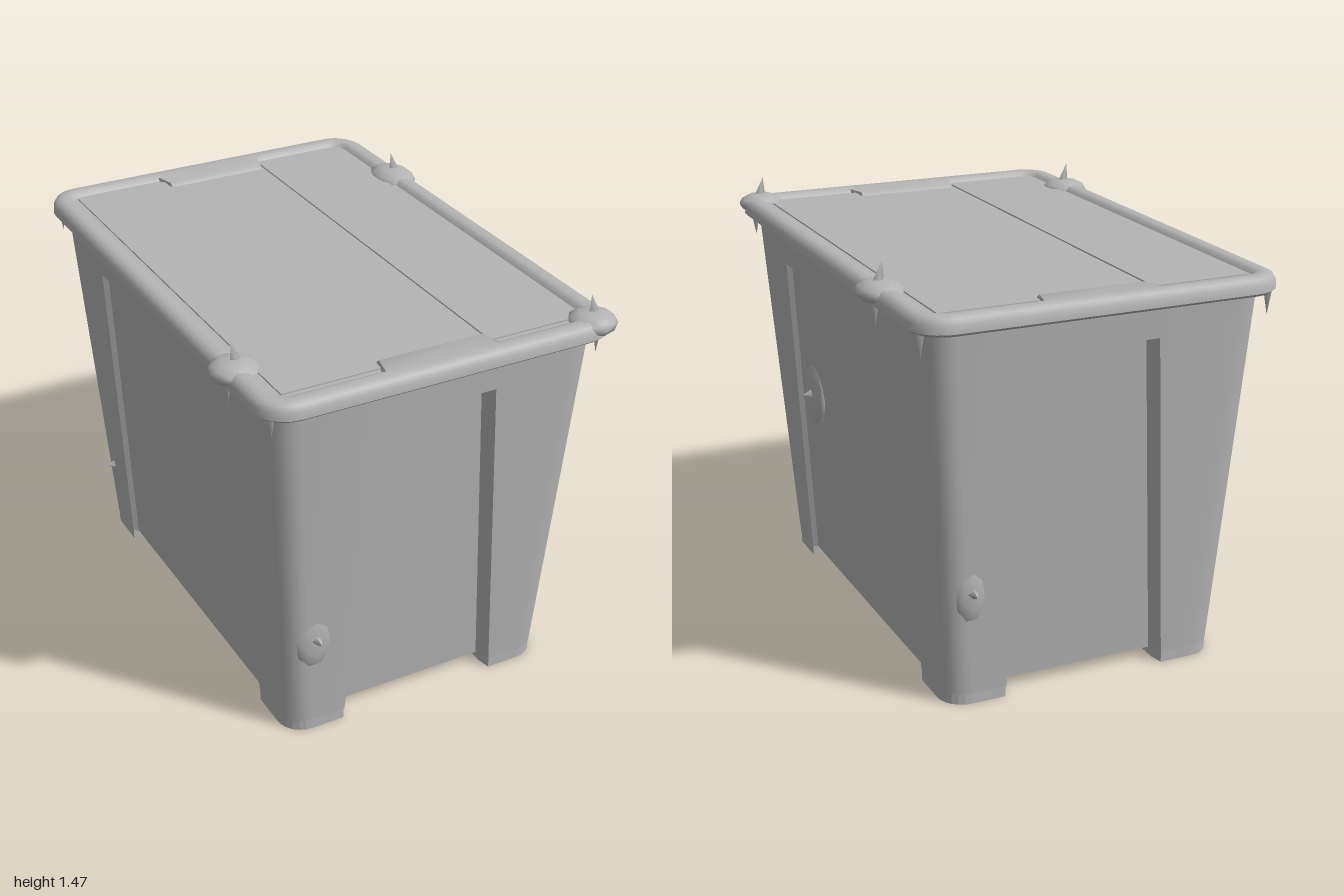
import * as THREE from 'three';
import { toCreasedNormals } from 'three/addons/utils/BufferGeometryUtils.js';

const lerp = THREE.MathUtils.lerp;

// One corner of the outline, from the middle of the long side to the middle of the end.
// w, l: half width and length; side/end: half span of the recess; ds/de: its depth.
function corner({ w, l, r, side, end, ds, de }) {
  const p = [[w - ds, side], [w, side + 0.012]];
  for (let i = 0; i <= 6; i++) {
    const a = (i / 6) * Math.PI / 2;
    p.push([w - r + r * Math.cos(a), l - r + r * Math.sin(a)]);
  }
  p.push([end + 0.02, l], [end, l - de]);
  return p;
}

// Full outline: the corner mirrored four ways
function outline(o) {
  const c = corner(o), rev = [...c].reverse();
  return [
    ...c,
    ...rev.map(([x, z]) => [-x, z]),
    ...c.map(([x, z]) => [-x, -z]),
    ...rev.map(([x, z]) => [x, -z]),
  ];
}

// Skin between stacked outlines
function loft(levels, crease = 0.6) {
  const rings = levels.map(outline), n = rings[0].length;
  const pos = [], idx = [];
  rings.forEach((ring, k) => ring.forEach(([x, z]) => pos.push(x, levels[k].y, z)));
  for (let k = 0; k < rings.length - 1; k++) {
    for (let i = 0; i < n; i++) {
      const a = k * n + i, b = k * n + (i + 1) % n;
      idx.push(a, a + n, b, b, a + n, b + n);
    }
  }
  const g = new THREE.BufferGeometry();
  g.setAttribute('position', new THREE.Float32BufferAttribute(pos, 3));
  g.setIndex(idx);
  return toCreasedNormals(g, crease);
}

const toShape = (pts, s = 1) => new THREE.Shape(pts.map(([x, z]) => new THREE.Vector2(x, s * z)));

// Tapered body section at height y
function section(y, recessed = true) {
  const t = y / 1.34;
  return {
    y, w: lerp(0.51, 0.605, t), l: lerp(0.79, 0.875, t), r: lerp(0.09, 0.1, t),
    side: lerp(0.56, 0.49, t), end: lerp(0.28, 0.18, t),
    ds: recessed ? 0.018 : 0, de: recessed ? 0.055 : 0,
  };
}

export function createModel() {
  const model = new THREE.Group();
  const bin = new THREE.Group();
  bin.name = 'storageBin';
  bin.rotation.y = -0.097;
  model.add(bin);

  const plastic = new THREE.MeshStandardMaterial({ color: 0xb4b4b4 });
  plastic.name = 'greyPlastic';

  function add(name, geo, x = 0, y = 0, z = 0) {
    const m = new THREE.Mesh(geo, plastic);
    m.name = name;
    m.position.set(x, y, z);
    bin.add(m);
    return m;
  }

  // Walls with recessed panels that stop below the rim
  add('walls', loft([section(0.04), section(1.22), section(1.22, false), section(1.35, false)]));

  // Underside
  add('floor', new THREE.ShapeGeometry(toShape(outline(section(0.04)))).rotateX(Math.PI / 2), 0, 0.04, 0);

  // Hollow corner feet
  for (const sx of [1, -1]) for (const sz of [1, -1]) {
    const s = section(0.02), c = corner(s);
    const ix = s.end + 0.01, iz = s.side + 0.01;
    const ring = [...c.slice(1, -1), [ix, s.l - 0.05], [ix, iz], [s.w - 0.02, iz]];
    const cx = (s.w + ix) / 2, cz = (s.l + iz) / 2;
    const shape = toShape(ring.map(([x, z]) => [sx * x, sz * z]));
    shape.holes.push(new THREE.Path(ring.map(([x, z]) =>
      new THREE.Vector2(sx * (cx + (x - cx) * 0.84), sz * (cz + (z - cz) * 0.84)))));
    add('foot', new THREE.ExtrudeGeometry(shape, { depth: 0.04, bevelEnabled: false }).rotateX(Math.PI / 2), 0, 0.042, 0);
  }

  // Lid: rounded rim, then a step down with a tab at each end
  const rim = (y, inset, de = 0) => ({
    y, w: 0.65 - inset, l: 0.935 - inset, r: Math.max(0.05, 0.12 - inset),
    side: 0.5, end: 0.19, ds: 0, de,
  });
  const inner = rim(1.381, 0.08, 0.075);
  add('lidRim', loft([
    rim(1.34, 0.07), rim(1.335, 0.012), rim(1.345, 0), rim(1.372, 0.002), rim(1.39, 0.012),
    rim(1.398, 0.03), rim(1.398, 0.058), rim(1.393, 0.07, 0.07), inner,
  ], 0.9));
  add('lidPanel', new THREE.ShapeGeometry(toShape(outline(inner), -1)).rotateX(-Math.PI / 2), 0, 1.381, 0);

  // Slightly raised strips either side of the middle band
  for (const s of [1, -1]) {
    add('lidStrip', new THREE.BoxGeometry(0.35, 0.006, 1.66), s * 0.375, 1.383, 0);
  }

  // Bent lumps and upright shards on the rim: x, z, half width, half length
  const lumps = [[-0.6, 0.61, 0.085, 0.09], [0.605, -0.49, 0.08, 0.11], [0.575, 0.86, 0.085, 0.085]];
  for (const [x, z, a, b] of lumps) {
    add('rimLump', new THREE.IcosahedronGeometry(1, 1), x, 1.375, z).scale.set(a, 0.04, b);
    const shard = add('rimShard', new THREE.ConeGeometry(0.026, 0.09, 4), x, 1.43, z);
    shard.rotation.z = 0.2;
    shard.scale.z = 0.7;
  }

  // Torn drips hanging under the rim
  const drips = [[-0.6, 0.86], [0.6, 0.86], [0.62, -0.86], [-0.6, -0.88], [-0.62, 0.6], [0.62, -0.48]];
  for (const [x, z] of drips) {
    add('rimDrip', new THREE.ConeGeometry(0.018, 0.09, 4).rotateX(Math.PI), x, 1.3, z);
  }

  // Dents and chips in the walls: position, half sizes, chip direction
  const dents = [
    [-0.42, 0.4, 0.795, 0.075, 0.13, 0.03, 0, 1],
    [0.545, 0.75, 0.37, 0.02, 0.12, 0.1, 1, 0],
    [0.43, 0.42, -0.797, 0.06, 0.12, 0.03, 0, -1],
    [-0.512, 0.3, -0.68, 0.025, 0.11, 0.06, -1, 0],
  ];
  for (const [x, y, z, a, b, c, dx, dz] of dents) {
    add('wallDent', new THREE.IcosahedronGeometry(1, 1), x, y, z).scale.set(a, b, c);
    const chip = add('wallChip', new THREE.ConeGeometry(0.022, 0.04, 4), x + dx * (a + 0.01), y, z + dz * (c + 0.01));
    chip.rotation.set(dz * Math.PI / 2, 0, -dx * Math.PI / 2);
  }

  return model;
}
